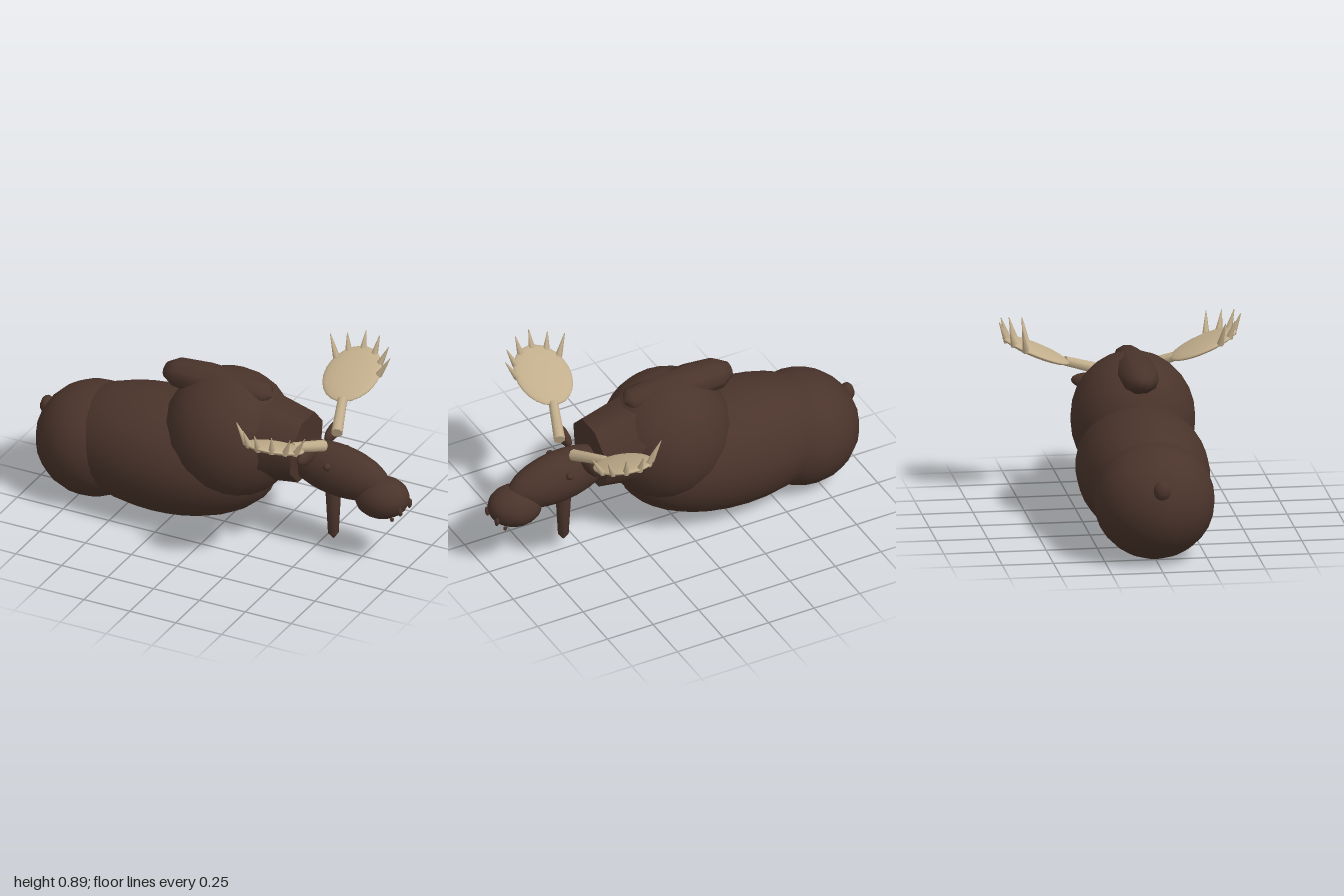
import * as THREE from 'three';

const fur = new THREE.MeshStandardMaterial({ color: 0x4a342b });
fur.name = 'dark brown fur';
const bone = new THREE.MeshStandardMaterial({ color: 0xc2ae8c });
bone.name = 'pale antler';

const V = (x, y, z) => new THREE.Vector3(x, y, z);

function add(parent, name, geometry, material = fur) {
  const mesh = new THREE.Mesh(geometry, material);
  mesh.name = name;
  parent.add(mesh);
  return mesh;
}

// Ellipsoid from centre and radii
function blob(parent, name, centre, radii, segments = 20, material = fur) {
  const mesh = add(parent, name, new THREE.SphereGeometry(1, segments, Math.round(segments * 0.7)), material);
  mesh.position.set(...centre);
  mesh.scale.set(...radii);
  return mesh;
}

// Tapered rod running from a to b
function rod(parent, name, a, b, ra, rb, sides, material = fur) {
  const dir = b.clone().sub(a);
  const mesh = add(parent, name, new THREE.CylinderGeometry(rb, ra, dir.length(), sides), material);
  mesh.position.copy(a).add(b).multiplyScalar(0.5);
  mesh.quaternion.setFromUnitVectors(V(0, 1, 0), dir.normalize());
  return mesh;
}

function lathe(points, sides) {
  return new THREE.LatheGeometry(points.map(p => new THREE.Vector2(...p)), sides);
}

// Base and tip of each tine on the +z antler
const tines = [
  [[0.365, 0.765, 0.475], [0.32, 0.88, 0.495]],
  [[0.405, 0.785, 0.525], [0.385, 0.875, 0.55]],
  [[0.468, 0.79, 0.55], [0.467, 0.89, 0.59]],
  [[0.535, 0.79, 0.54], [0.55, 0.89, 0.57]],
  [[0.585, 0.775, 0.5], [0.625, 0.87, 0.52]],
  [[0.61, 0.75, 0.44], [0.67, 0.855, 0.45]],
];

export function createModel() {
  const model = new THREE.Group();
  model.name = 'moose';

  // Torso
  blob(model, 'rump', [-0.7, 0.287, 0], [0.295, 0.285, 0.295]);
  blob(model, 'belly', [-0.31, 0.33, 0], [0.585, 0.31, 0.32], 24);
  blob(model, 'shoulders', [0.03, 0.505, 0], [0.33, 0.33, 0.305]);
  blob(model, 'tail', [-0.965, 0.4, 0], [0.035, 0.05, 0.042], 10);

  // Shoulder hump, lying along the back
  const hump = add(model, 'hump', lathe([
    [0, -0.29], [0.045, -0.285], [0.088, -0.22], [0.1, -0.08],
    [0.092, 0.08], [0.065, 0.26], [0, 0.29],
  ], 10));
  hump.rotation.z = -Math.PI / 2;
  hump.scale.x = 0.8;
  hump.position.set(-0.03, 0.767, 0);

  // Eight-sided neck with flats on top and sides
  const neckShape = new THREE.CylinderGeometry(0.178, 0.222, 0.24, 8);
  neckShape.rotateY(Math.PI / 8);
  neckShape.rotateZ(-Math.PI / 2);
  const neck = add(model, 'neck', neckShape);
  neck.position.set(0.325, 0.535, 0);
  neck.rotation.z = -0.06;

  // Head
  const head = blob(model, 'head', [0.62, 0.448, 0], [0.28, 0.132, 0.11]);
  head.rotation.z = -0.12;
  const muzzle = blob(model, 'muzzle', [0.858, 0.357, 0], [0.14, 0.105, 0.112], 18);
  muzzle.rotation.z = 0.15;

  // Hanging bell under the throat
  const bell = add(model, 'throatBell', lathe([
    [0, 0.06], [0.026, 0.09], [0.04, 0.36], [0, 0.365],
  ], 6));
  bell.position.x = 0.592;

  for (const s of [1, -1]) {
    const side = s > 0 ? 'right' : 'left';
    blob(model, side + 'Eye', [0.61, 0.51, s * 0.102], [0.02, 0.02, 0.02], 10);
    const nostril = blob(model, side + 'Nostril', [0.982, 0.33, s * 0.05], [0.012, 0.024, 0.014], 8);
    nostril.rotation.x = s * 0.2;
    blob(model, side + 'LipDot', [0.94, 0.28, s * 0.055], [0.01, 0.01, 0.01], 8);
    const ear = blob(model, side + 'Ear', [0.52, 0.567, s * 0.145], [0.028, 0.04, 0.088], 12);
    ear.rotation.x = -s * 0.12;

    // Antler: beam, flat palm and a fan of tines along the outer rim
    const antler = new THREE.Group();
    antler.name = side + 'Antler';
    model.add(antler);
    rod(antler, 'beam', V(0.575, 0.605, s * 0.07), V(0.505, 0.675, s * 0.265), 0.029, 0.024, 8, bone);
    const palm = blob(antler, 'palm', [0.483, 0.74, s * 0.41], [0.14, 0.024, 0.177], 24, bone);
    palm.rotation.x = -s * 0.4;
    for (const [b, t] of tines) {
      rod(antler, 'tine', V(b[0], b[1], s * b[2]), V(t[0], t[1], s * t[2]), 0.018, 0.002, 6, bone);
    }
  }
  return model;
}
